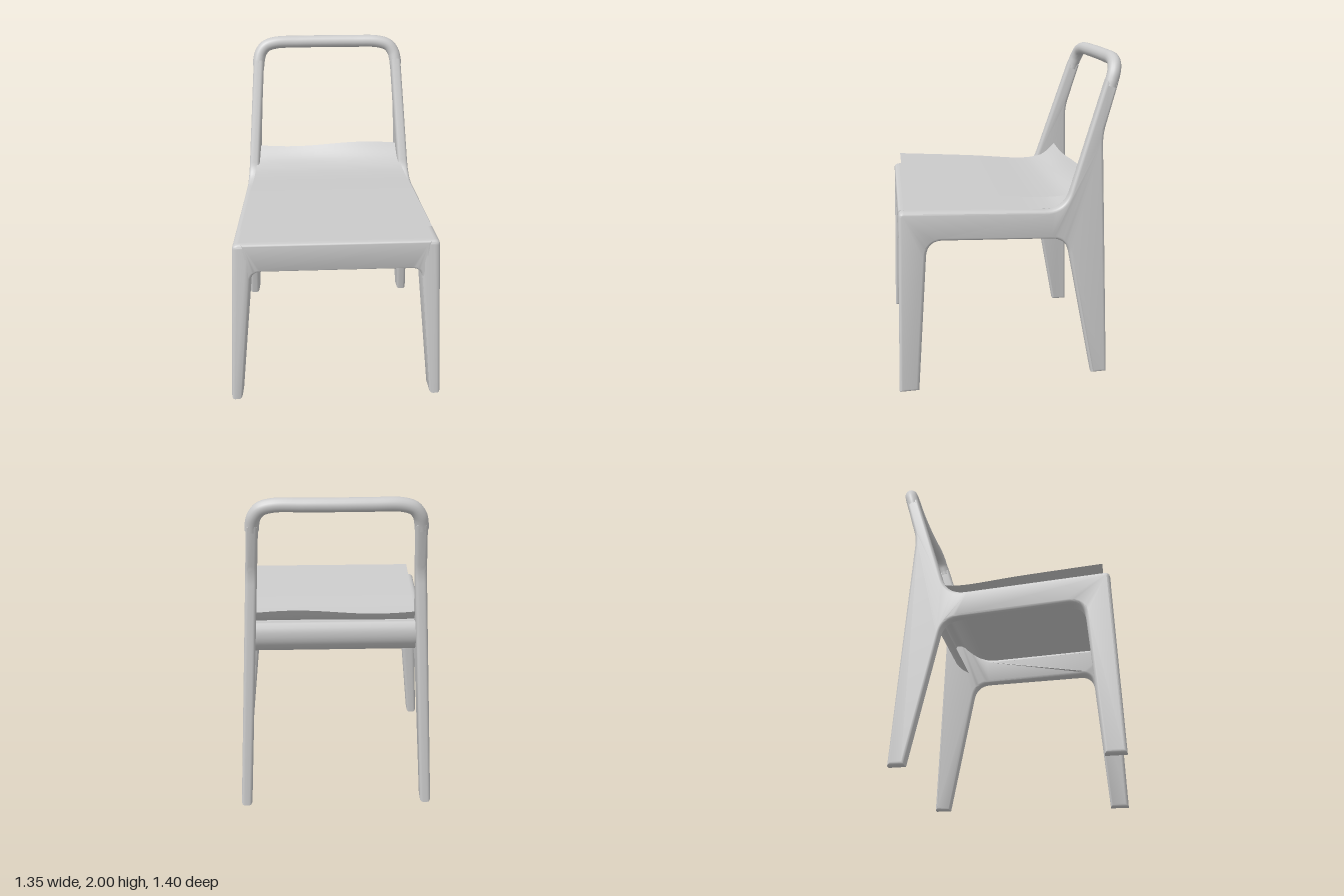
import * as THREE from 'three';
import { toCreasedNormals } from 'three/addons/utils/BufferGeometryUtils.js';

const paint = new THREE.MeshStandardMaterial({ color: 0xcccccc, side: THREE.DoubleSide });
paint.name = 'light grey';

const clamp = THREE.MathUtils.clamp;

// Closed shape from [x, y, cornerRadius] points
function roundedShape(points) {
  const shape = new THREE.Shape();
  const n = points.length;
  points.forEach(([x, y, r = 0], i) => {
    const p = new THREE.Vector2(x, y);
    const toward = ([qx, qy]) => {
      const d = new THREE.Vector2(qx - x, qy - y);
      return p.clone().addScaledVector(d.normalize(), r);
    };
    const a = toward(points[(i + n - 1) % n]);
    const b = toward(points[(i + 1) % n]);
    if (i === 0) shape.moveTo(a.x, a.y);
    else shape.lineTo(a.x, a.y);
    if (r > 0) shape.quadraticCurveTo(x, y, b.x, b.y);
  });
  shape.closePath();
  return shape;
}

function extrude(points, depth, bevel) {
  return new THREE.ExtrudeGeometry(roundedShape(points), {
    depth: depth - 2 * bevel, curveSegments: 10, bevelEnabled: true,
    bevelThickness: bevel, bevelSize: bevel, bevelOffset: -bevel, bevelSegments: 4,
  }).translate(0, 0, bevel);
}

function addMesh(group, name, geometry) {
  const mesh = new THREE.Mesh(geometry, paint);
  mesh.name = name;
  group.add(mesh);
}

// Side silhouette as [z, y, radius]: front leg, rail, upright and back leg in one piece
const sideProfile = [
  [0.70, 0], [0.665, 1.13, 0.03], [-0.33, 1.08, 0.12], [-0.575, 1.855],
  [-0.65, 1.838], [-0.562, 1.53, 0.06], [-0.62, 0], [-0.52, 0],
  [-0.345, 0.905, 0.1], [0.505, 0.945, 0.1], [0.58, 0],
];

// The side frame leans inward upward and toward the back
const outerX = (y, z) => 0.64 + 0.053 * z - 0.057 * y;
const thickness = (y, z) =>
  0.068 + 0.05 * clamp(y / 1.1, 0, 1) * clamp((z - 0.35) / 0.1, 0, 1);

function sideFrame(side) {
  const depth = 0.07;
  const geo = extrude(sideProfile.map(([z, y, r]) => [-side * z, y, r]), depth, 0.02);
  const pos = geo.attributes.position;
  for (let i = 0; i < pos.count; i++) {
    const z = -side * pos.getX(i);
    const y = pos.getY(i);
    let s = pos.getZ(i) / depth;
    if (side < 0) s = 1 - (1 - s);
    pos.setXYZ(i, side * (outerX(y, z) - (1 - s) * thickness(y, z)), y, z);
  }
  return toCreasedNormals(geo, 0.6);
}

// Thin sheet swept along a [z, y] profile, with width and ripple rules
function sheet(profile, halfWidth, ripple = () => 0) {
  const curve = new THREE.CatmullRomCurve3(
    profile.map(([z, y]) => new THREE.Vector3(0, y, z)), false, 'centripetal');
  const geo = new THREE.PlaneGeometry(2, 1, 24, 48);
  const pos = geo.attributes.position;
  for (let i = 0; i < pos.count; i++) {
    const t = pos.getY(i) + 0.5;
    const p = curve.getPointAt(clamp(t, 0, 1));
    const x = pos.getX(i) * halfWidth(p.z);
    pos.setXYZ(i, x, p.y + ripple(x, t), p.z);
  }
  geo.computeVertexNormals();
  return geo;
}

export function createModel() {
  const chair = new THREE.Group();
  chair.name = 'chair';

  addMesh(chair, 'leftSideFrame', sideFrame(1));
  addMesh(chair, 'rightSideFrame', sideFrame(-1));

  // Front rail with flared lower ends blending into the legs
  const rail = extrude([
    [-0.56, 1.13], [0.56, 1.13], [0.56, 0.84], [0.525, 0.84], [0.505, 0.942, 0.06],
    [-0.505, 0.942, 0.06], [-0.525, 0.84], [-0.56, 0.84],
  ], 0.08, 0.018).translate(0, 0, 0.588);
  addMesh(chair, 'frontRail', toCreasedNormals(rail, 0.6));

  // Top bar bending over from one upright to the other, bowed backward
  const half = [
    [0.472, 1.81, -0.603], [0.468, 1.845, -0.613], [0.455, 1.892, -0.628],
    [0.42, 1.935, -0.64], [0.35, 1.957, -0.648], [0.18, 1.96, -0.657],
  ];
  const path = [
    ...half.map(([x, y, z]) => new THREE.Vector3(-x, y, z)),
    new THREE.Vector3(0, 1.96, -0.66),
    ...half.slice().reverse().map((p) => new THREE.Vector3(...p)),
  ];
  addMesh(chair, 'topBar', new THREE.TubeGeometry(
    new THREE.CatmullRomCurve3(path, false, 'centripetal'), 96, 0.04, 16));

  // Seat base flush with the rails, rolling over a rear lip and down
  const seatWidth = (z) => clamp(0.537 + 0.06 * z, 0.5, 0.575);
  addMesh(chair, 'seatBase', sheet([
    [0.635, 1.132], [0.2, 1.11], [-0.2, 1.09], [-0.31, 1.1], [-0.39, 1.15],
    [-0.45, 1.2], [-0.49, 1.2], [-0.51, 1.15], [-0.5, 1.08], [-0.45, 1.02], [-0.4, 0.99],
  ], seatWidth));

  // Loose upper seat sheet with a rippled, upturned back edge
  addMesh(chair, 'seatSheet', sheet([
    [0.625, 1.21], [0.1, 1.183], [-0.22, 1.16], [-0.33, 1.165], [-0.4, 1.19],
    [-0.45, 1.23], [-0.485, 1.27],
  ], (z) => clamp(0.525 + 0.057 * z, 0.48, 0.56),
  (x, t) => 0.013 * Math.sin(x * Math.PI * 2) * clamp((t - 0.85) / 0.15, 0, 1)));

  return chair;
}
